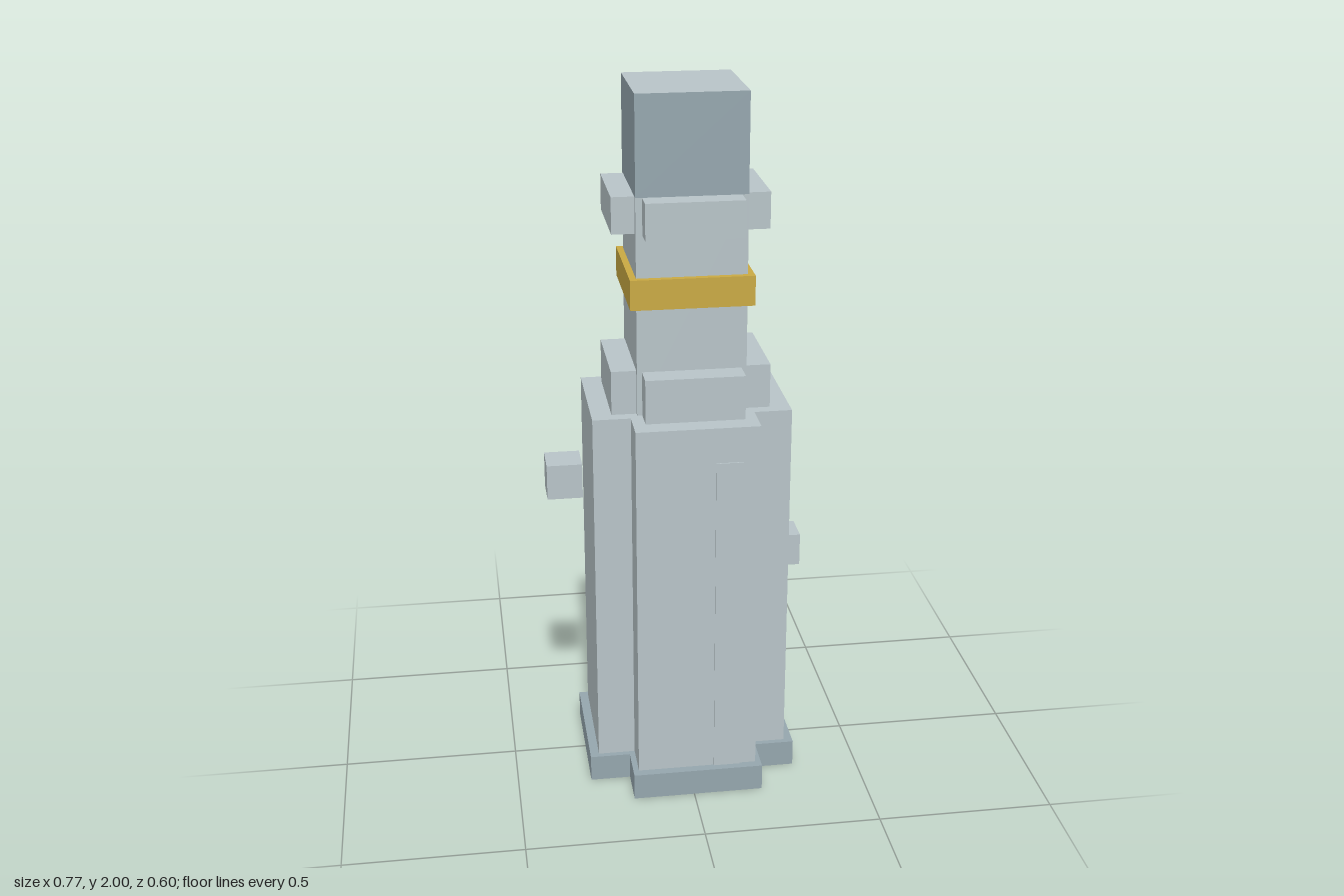
import * as THREE from 'three';

const CX = 0.012; // the tower axis sits slightly off centre

export function createModel() {
  const mat = (name, color) => {
    const m = new THREE.MeshStandardMaterial({ color });
    m.name = name;
    return m;
  };
  const light = mat('pale grey', 0xb8c4c8);
  const dark = mat('slate grey', 0x95a6ae);
  const gold = mat('gold', 0xc9a943);

  const group = new THREE.Group();
  group.name = 'tower';

  const add = (name, geometry, material) => {
    const mesh = new THREE.Mesh(geometry, material);
    mesh.name = name;
    group.add(mesh);
  };

  // Box given by its lower and upper bounds
  const box = (name, material, x0, x1, y0, y1, z0, z1) => {
    const g = new THREE.BoxGeometry(x1 - x0, y1 - y0, z1 - z0);
    g.translate((x0 + x1) / 2, (y0 + y1) / 2, (z0 + z1) / 2);
    add(name, g, material);
  };

  // Square block centred on the tower axis
  const block = (name, material, half, y0, y1) =>
    box(name, material, CX - half, CX + half, y0, y1, -half, half);

  // Plus-shaped prism: a = arm reach, b = half the arm width
  const cross = (name, material, a, b, y0, y1) => {
    const points = [
      [a, -b], [a, b], [b, b], [b, a], [-b, a], [-b, b],
      [-a, b], [-a, -b], [-b, -b], [-b, -a], [b, -a], [b, -b],
    ].map(([x, y]) => new THREE.Vector2(x, y));
    const g = new THREE.ExtrudeGeometry(new THREE.Shape(points), { depth: y1 - y0, bevelEnabled: false });
    g.rotateX(-Math.PI / 2);
    g.translate(CX, y0, 0);
    add(name, g, material);
  };

  // Stepped body
  cross('base', dark, 0.3, 0.186, 0, 0.077);
  cross('body', light, 0.275, 0.17, 0.077, 1.126);
  cross('lowerCollar', light, 0.219, 0.136, 1.126, 1.25);

  // Upper shaft with its band, collar and pale-topped cap
  block('shaft', light, 0.15, 1.126, 1.73);
  block('band', gold, 0.168, 1.43, 1.513);
  cross('upperCollar', light, 0.212, 0.132, 1.63, 1.73);
  block('cap', [dark, dark, light, dark, dark, dark], 0.15, 1.73, 2);

  // Thin door panel on the front
  box('doorPanel', light, 0.06, 0.135, 0.077, 1.025, 0.274, 0.279);

  // Small side cubes
  box('rightCube', light, -0.387, -0.289, 0.88, 0.98, 0.025, 0.125);
  box('leftCube', light, 0.287, 0.386, 0.503, 0.602, -0.226, -0.127);

  return group;
}
